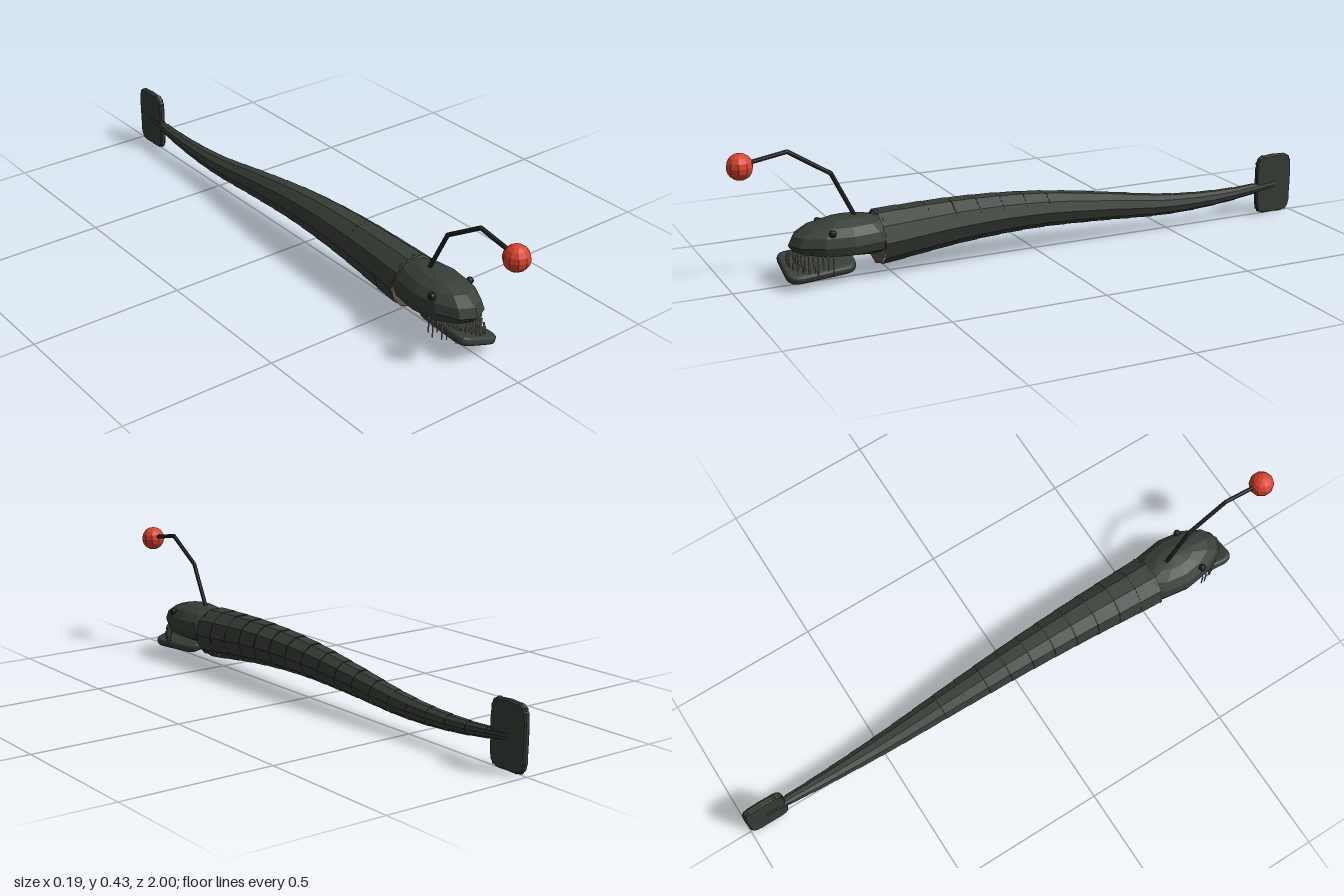
import * as THREE from 'three';
import { RoundedBoxGeometry } from 'three/addons/geometries/RoundedBoxGeometry.js';

const material = (name, color, side = THREE.FrontSide) => {
  const m = new THREE.MeshStandardMaterial({ color, side });
  m.name = name;
  return m;
};

// Faceted normals for the low-poly look
function flat(geometry) {
  const g = geometry.index ? geometry.toNonIndexed() : geometry;
  g.computeVertexNormals();
  return g;
}

export function createModel() {
  const group = new THREE.Group();
  const skin = material('darkSkin', 0x373e37, THREE.DoubleSide);
  const belly = material('bellyFlesh', 0x5e544c, THREE.DoubleSide);
  const dark = material('stalkBlack', 0x2a2d2b);
  const eyeDark = material('eyeBlack', 0x1f2421);
  const tooth = material('toothBone', 0x948a80);
  const glow = material('lureRed', 0xdc432c);
  const UP = new THREE.Vector3(0, 1, 0);

  const add = (name, geometry, mat, x = 0, y = 0, z = 0, parent = group) => {
    const mesh = new THREE.Mesh(geometry, mat);
    mesh.name = name;
    mesh.position.set(x, y, z);
    parent.add(mesh);
    return mesh;
  };

  // Cylinder between two points; the second point gets the top radius
  const link = (name, a, b, ra, rb, mat, sides, open, start = 0, sweep = Math.PI * 2) => {
    const dir = b.clone().sub(a);
    const g = flat(new THREE.CylinderGeometry(rb, ra, dir.length(), sides, 1, open, start, sweep));
    const mesh = add(name, g, mat);
    mesh.position.copy(a).add(b).multiplyScalar(0.5);
    mesh.quaternion.setFromUnitVectors(UP, dir.normalize());
    return mesh;
  };

  // Body: tapering overlapping rings along a gently waving spine
  const spine = new THREE.CatmullRomCurve3([
    [0.115, 0.54], [0.133, 0.25], [0.131, 0], [0.11, -0.24],
    [0.083, -0.5], [0.082, -0.72], [0.1, -0.93],
  ].map(([y, z]) => new THREE.Vector3(0, y, z)));
  const radius = (z) => 0.06 + 0.051 * z;
  const rings = 18;
  for (let i = 0; i < rings; i++) {
    const a = spine.getPointAt(i / rings);
    const b = spine.getPointAt((i + 1) / rings);
    const ra = radius(a.z);
    const rb = radius(b.z) + 0.0015;
    link('bodyRing' + i, b, a, rb, ra, skin, 9, true, Math.PI / 10, Math.PI * 1.8);
    link('bellyPlate' + i, b, a, rb, ra, belly, 1, true, -Math.PI / 10, Math.PI / 5);
  }
  const collar = add('neckCap', new THREE.CircleGeometry(0.087, 10, Math.PI / 10), belly, 0, 0.115, 0.54);
  collar.rotation.x = -0.06;

  // Head: faceted ellipsoid with its underside pressed flat as the palate
  const headGeo = new THREE.SphereGeometry(1, 12, 8);
  headGeo.scale(0.097, 0.075, 0.184);
  const p = headGeo.attributes.position;
  for (let i = 0; i < p.count; i++) {
    p.setY(i, Math.max(p.getY(i), -0.036 + 0.1 * p.getZ(i)));
  }
  add('head', flat(headGeo), skin, 0, 0.125, 0.64);

  for (const side of [-1, 1]) {
    add(side > 0 ? 'leftEye' : 'rightEye', flat(new THREE.SphereGeometry(0.012, 8, 6)),
      eyeDark, side * 0.074, 0.167, 0.705);
  }

  // Lower jaw: thick rounded board hanging askew
  const jaw = new THREE.Group();
  jaw.name = 'lowerJaw';
  jaw.position.set(-0.001, 0.055, 0.735);
  jaw.rotation.z = -0.32;
  group.add(jaw);
  const outline = new THREE.Shape();
  outline.moveTo(-0.045, 0.1);
  outline.lineTo(0.045, 0.1);
  outline.quadraticCurveTo(0.066, 0.1, 0.066, 0.07);
  outline.lineTo(0.05, -0.08);
  outline.quadraticCurveTo(0.045, -0.105, 0.02, -0.105);
  outline.lineTo(-0.02, -0.105);
  outline.quadraticCurveTo(-0.045, -0.105, -0.05, -0.08);
  outline.lineTo(-0.066, 0.07);
  outline.quadraticCurveTo(-0.066, 0.1, -0.045, 0.1);
  const jawGeo = new THREE.ExtrudeGeometry(outline, {
    depth: 0.008, bevelThickness: 0.01, bevelSize: 0.011, bevelSegments: 3, curveSegments: 4,
  });
  jawGeo.rotateX(Math.PI / 2);
  add('jawBoard', jawGeo, skin, 0, 0.004, 0, jaw);

  // Needle teeth: a hanging upper row and a short lower row
  const needle = (len) => flat(new THREE.CylinderGeometry(0.003, 0.002, len, 5));
  for (let i = 0; i < 21; i++) {
    const a = (i / 20 - 0.5) * Math.PI * 0.92;
    const len = 0.052 + 0.014 * Math.sin(i * 2.3);
    add('upperTooth' + i, needle(len), tooth,
      0.086 * Math.sin(a), 0.103 - len / 2, 0.695 + 0.11 * Math.cos(a));
  }
  for (let i = 0; i < 13; i++) {
    const a = (i / 12 - 0.5) * Math.PI * 0.9;
    const len = 0.026 + 0.006 * Math.sin(i * 1.9);
    const t = add('lowerTooth' + i, needle(len), tooth,
      0.062 * Math.sin(a), 0.01 + len / 2, 0.01 + 0.085 * Math.cos(a), jaw);
    t.rotation.z = 0.32;
  }

  // Lure: jointed stalk and glowing bulb
  const stalk = [[0.185, 0.605], [0.335, 0.68], [0.418, 0.813], [0.398, 0.93]]
    .map(([y, z]) => new THREE.Vector3(0, y, z));
  for (let i = 0; i < 3; i++) {
    link('lureStalk' + i, stalk[i], stalk[i + 1], 0.007, 0.007, dark, 8, false);
    if (i) add('stalkJoint' + i, new THREE.SphereGeometry(0.007, 8, 6), dark, 0, stalk[i].y, stalk[i].z);
  }
  const bulb = add('lureBulb', flat(new THREE.SphereGeometry(0.041, 10, 8)), glow, 0, 0.389, 0.958);
  bulb.rotation.y = Math.PI / 2;

  // Tail fin: thin upright plate with a slightly ragged edge
  const finGeo = new RoundedBoxGeometry(0.016, 0.208, 0.142, 4, 0.007);
  const f = finGeo.attributes.position;
  for (let i = 0; i < f.count; i++) {
    const y = f.getY(i), z = f.getZ(i);
    f.setX(i, f.getX(i) + 0.002 * Math.sin(y * 60 + z * 90));
  }
  finGeo.dispose();
  const edge = [];
  for (let i = 0; i < 40; i++) {
    const a = (i / 40) * Math.PI * 2;
    const c = Math.cos(a), s = Math.sin(a);
    const wob = 1 + 0.018 * Math.sin(i * 2.7);
    edge.push(new THREE.Vector2(
      Math.sign(c) * Math.min(0.068, 0.066 * Math.abs(c) ** 0.35 * wob),
      Math.sign(s) * Math.min(0.1, 0.099 * Math.abs(s) ** 0.35 * wob)));
  }
  const plate = new THREE.ExtrudeGeometry(new THREE.Shape(edge), {
    depth: 0.01, bevelThickness: 0.005, bevelSize: 0.004, bevelSegments: 1,
  });
  plate.translate(0, 0, -0.005);
  plate.rotateY(Math.PI / 2);
  add('tailFin', flat(plate), skin, 0, 0.104, -0.928);

  return group;
}
